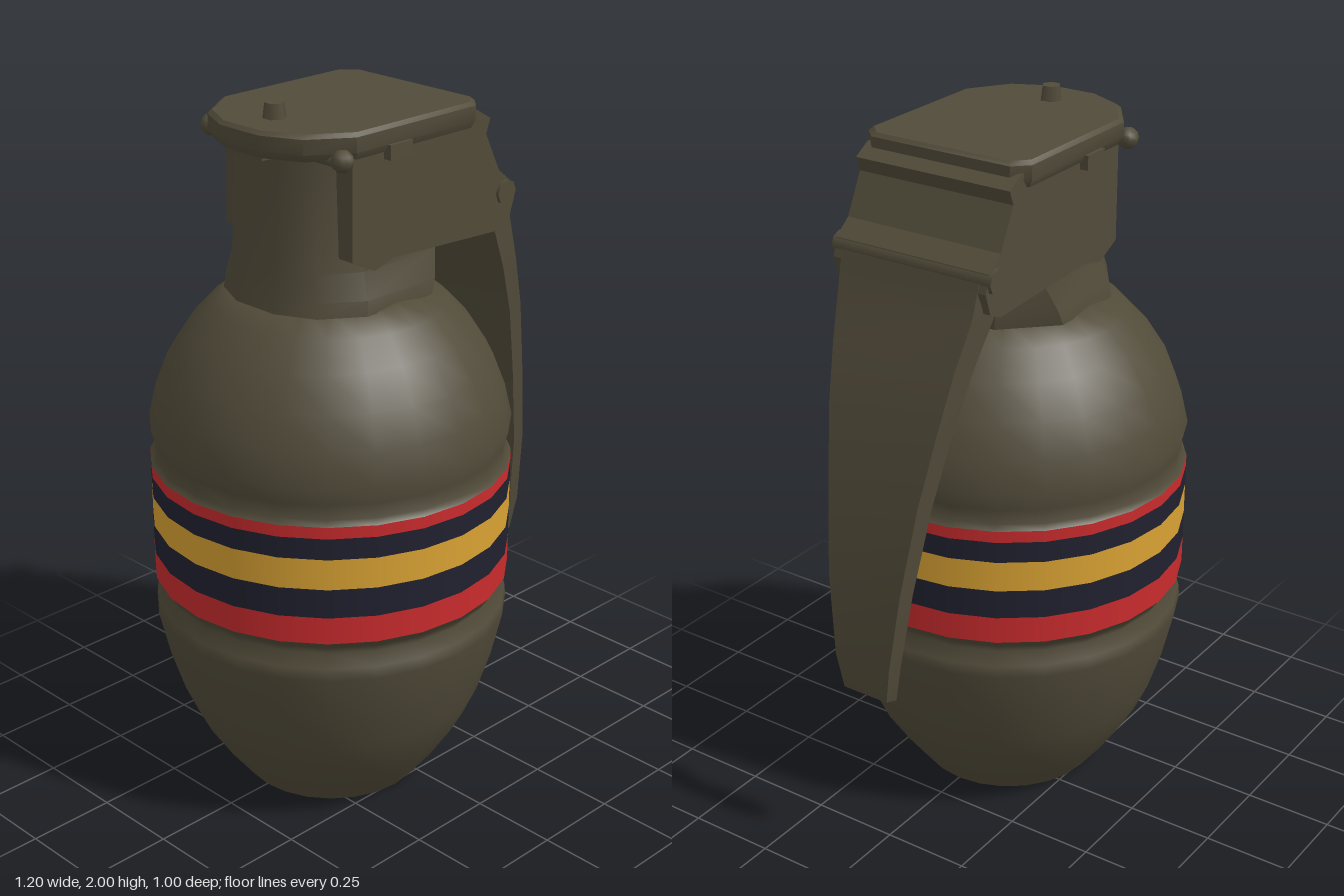
import * as THREE from 'three';
import { toCreasedNormals } from 'three/addons/utils/BufferGeometryUtils.js';

const material = (name, color) => {
  const m = new THREE.MeshStandardMaterial({ color });
  m.name = name;
  return m;
};

// Solid skin through equal-sized rings listed bottom to top, counter-clockwise from above
function loft(rings, crease = 0.6) {
  const n = rings[0].length;
  const index = [];
  for (let i = 0; i < rings.length - 1; i++) {
    for (let j = 0; j < n; j++) {
      const a = i * n + j, b = i * n + (j + 1) % n;
      index.push(a, b, b + n, a, b + n, a + n);
    }
  }
  const top = (rings.length - 1) * n;
  for (let j = 1; j < n - 1; j++) {
    index.push(0, j + 1, j, top, top + j, top + j + 1);
  }
  const g = new THREE.BufferGeometry();
  g.setAttribute('position', new THREE.Float32BufferAttribute(rings.flat(2), 3));
  g.setIndex(index);
  return toCreasedNormals(g, crease);
}

// Plan outline with a rounded -x end and small chamfers at the +x end
function plan(y, x0, x1, hz, c) {
  const half = [[x1, hz - c], [x1 - c, hz], [x0 + 0.16, hz], [x0 + 0.05, hz * 0.7], [x0, hz * 0.28]];
  const back = half.map(([x, z]) => [x, y, -z]);
  const front = half.map(([x, z]) => [x, y, z]).reverse();
  return [...back, ...front];
}

export function createModel() {
  const olive = material('olive', 0x514b39);
  const red = material('red', 0xc92b2d);
  const navy = material('navy', 0x20212f);
  const yellow = material('yellow', 0xd9a233);

  const model = new THREE.Group();
  model.name = 'grenade';
  const add = (name, geometry, mat, x = 0, y = 0, z = 0) => {
    const mesh = new THREE.Mesh(geometry, mat);
    mesh.name = name;
    mesh.position.set(x, y, z);
    model.add(mesh);
    return mesh;
  };
  const lathe = (name, points, mat) => add(name,
    new THREE.LatheGeometry(points.map(([r, y]) => new THREE.Vector2(r, y)), 24), mat, -0.1);

  // Egg-shaped body, grooved either side of the painted belt
  lathe('base', [[0, 0.005], [0.26, 0.005]], olive).material = olive;
  model.children[0].geometry.scale(1, 1, 1);
  lathe('lowerBody', [[0.26, 0.005], [0.325, 0.09], [0.39, 0.19], [0.43, 0.28], [0.468, 0.4],
    [0.498, 0.53], [0.494, 0.565], [0.47, 0.6], [0.485, 0.625], [0.5, 0.645]], olive);
  const stripes = [
    ['lowerRedStripe', 0.645, 0.722, red],
    ['lowerNavyStripe', 0.722, 0.805, navy],
    ['yellowStripe', 0.805, 0.892, yellow],
    ['upperNavyStripe', 0.892, 0.952, navy],
    ['upperRedStripe', 0.952, 0.985, red],
  ];
  for (const [name, y0, y1, mat] of stripes) lathe(name, [[0.5, y0], [0.5, y1]], mat);
  lathe('upperBody', [[0.5, 0.985], [0.487, 1.0], [0.485, 1.04], [0.499, 1.09], [0.478, 1.18],
    [0.443, 1.27], [0.385, 1.36], [0.32, 1.43], [0.255, 1.48], [0, 1.49]], olive);

  // Neck flaring into the body, and the fuze column above it
  add('neck', loft([
    plan(1.47, -0.37, 0.16, 0.255, 0.13),
    plan(1.51, -0.365, 0.165, 0.25, 0.12),
    plan(1.58, -0.355, 0.15, 0.225, 0.08),
    plan(1.92, -0.335, 0.15, 0.225, 0.05),
  ]), olive);

  // Fuze housing with a sloping shoulder towards the lever
  const side = new THREE.Shape([
    [-0.25, 1.92], [-0.25, 1.62], [-0.17, 1.58], [-0.1, 1.6], [0.3, 1.58], [0.345, 1.6],
    [0.365, 1.66], [0.35, 1.71], [0.3, 1.75], [0.245, 1.86], [0.26, 1.9], [0.21, 1.93],
  ].map(([x, y]) => new THREE.Vector2(x, y)));
  add('fuzeHousing', new THREE.ExtrudeGeometry(side, { depth: 0.48, bevelEnabled: false }),
    olive, 0, 0, -0.24);

  // Raised fold where the lever hooks over the housing
  const fold = add('leverFold', new THREE.CylinderGeometry(0.035, 0.035, 0.5, 8), olive, 0.325, 1.685, 0);
  fold.rotation.x = Math.PI / 2;

  // Top plate
  add('topPlate', loft([
    plan(1.89, -0.4, 0.21, 0.245, 0.03),
    plan(1.91, -0.41, 0.225, 0.255, 0.04),
    plan(1.95, -0.41, 0.225, 0.255, 0.04),
    plan(1.96, -0.4, 0.215, 0.245, 0.04),
  ]), olive);

  // Curved tapering lever: height, inner x, outer x, half width
  const stations = [
    [0.515, 0.552, 0.59, 0.076], [0.62, 0.557, 0.6, 0.095], [0.85, 0.535, 0.582, 0.125],
    [1.1, 0.483, 0.535, 0.155], [1.3, 0.427, 0.485, 0.185], [1.45, 0.37, 0.437, 0.205],
    [1.58, 0.305, 0.385, 0.225], [1.68, 0.3, 0.358, 0.23],
  ];
  add('lever', loft(stations.map(([y, xi, xo, w]) => [
    [xo, y + 0.01, w * 0.94], [xo, y + 0.01, -w * 0.94],
    [xi, y, -w], [xi, y, w],
  ])), olive);

  // Stud on the top plate
  add('topStud', new THREE.CylinderGeometry(0.026, 0.034, 0.06, 6), olive, -0.29, 1.97, 0);

  // Safety pin through the housing, with a boss at each end
  const pin = add('safetyPin', new THREE.CylinderGeometry(0.016, 0.016, 0.52, 8), olive, -0.29, 1.89, 0);
  pin.rotation.x = Math.PI / 2;
  for (const s of [-1, 1]) {
    add('pinBoss', new THREE.SphereGeometry(0.03, 8, 6), olive, -0.29, 1.895, s * 0.245);
    add('housingLug', new THREE.BoxGeometry(0.08, 0.04, 0.03), olive, -0.1, 1.89, s * 0.25);
  }
  add('endLug', new THREE.BoxGeometry(0.05, 0.035, 0.12), olive, -0.365, 1.895, 0);

  // Make the underside of the base face down
  const base = model.getObjectByName('base');
  base.geometry.dispose();
  base.geometry = new THREE.CircleGeometry(0.26, 24).rotateX(Math.PI / 2);
  base.position.y = 0.005;
  return model;
}
